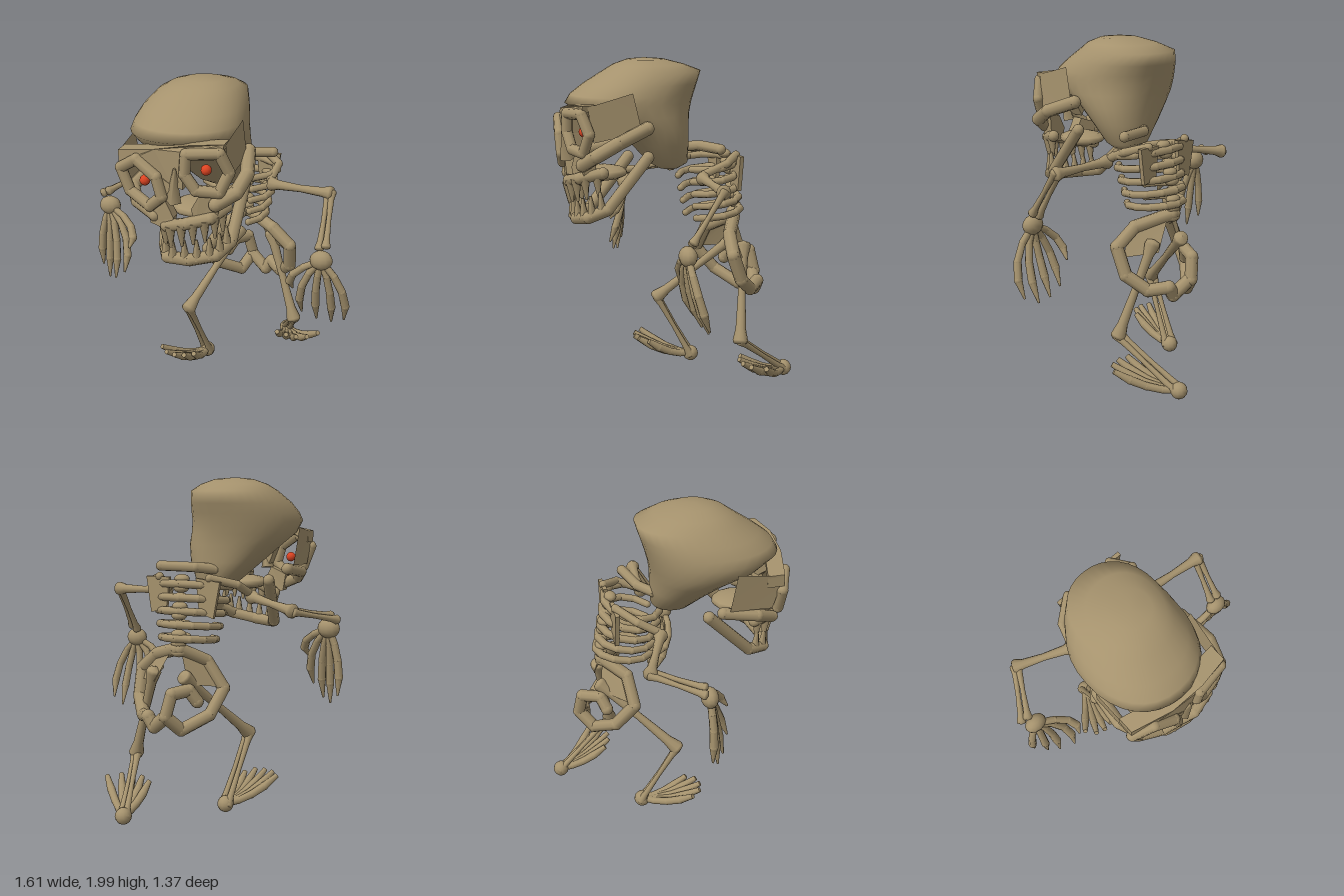
import * as THREE from 'three';

const bone = new THREE.MeshStandardMaterial({ color: 0xa5926d });
bone.name = 'bone';
bone.side = THREE.DoubleSide;
const ember = new THREE.MeshStandardMaterial({ color: 0xdd4422 });
ember.name = 'ember red';

const V = (p) => new THREE.Vector3(...p);
const UP = new THREE.Vector3(0, 1, 0);

function add(parent, name, geometry, material = bone) {
  const mesh = new THREE.Mesh(geometry, material);
  mesh.name = name;
  parent.add(mesh);
  return mesh;
}

function group(parent, name) {
  const g = new THREE.Group();
  g.name = name;
  parent.add(g);
  return g;
}

// place a y-axis geometry so that it runs from a to b
function span(mesh, a, b) {
  const p = V(a), q = V(b);
  mesh.position.copy(p).lerp(q, 0.5);
  mesh.quaternion.setFromUnitVectors(UP, q.sub(p).normalize());
  return mesh;
}

function rod(parent, name, a, b, r0, r1 = r0, sides = 8) {
  return span(add(parent, name, new THREE.CylinderGeometry(r1, r0, V(a).distanceTo(V(b)), sides)), a, b);
}

function ball(parent, name, p, r, scale = [1, 1, 1], material = bone) {
  const m = add(parent, name, new THREE.SphereGeometry(r, 12, 8), material);
  m.position.set(...p);
  m.scale.set(...scale);
  return m;
}

// jointed run of rods whose thickness goes from r0 to r1
function chain(parent, name, pts, r0, r1 = r0) {
  const g = group(parent, name), n = pts.length - 1;
  const r = (i) => r0 + (r1 - r0) * i / n;
  for (let i = 0; i < n; i++) rod(g, name + 'Segment', pts[i], pts[i + 1], r(i), r(i + 1));
  pts.forEach((p, i) => ball(g, name + 'Joint', p, r(i)));
}

// limb bone with a slim shaft and knobbed ends
function longBone(parent, name, a, b, r) {
  const L = V(a).distanceTo(V(b)), h = L / 2;
  const profile = [[0, -h - r], [r * 1.3, -h - r * 0.6], [r * 1.5, -h], [r, -h * 0.75], [r * 0.75, 0],
    [r, h * 0.75], [r * 1.5, h], [r * 1.3, h + r * 0.6], [0, h + r]];
  span(add(parent, name, new THREE.LatheGeometry(profile.map((p) => new THREE.Vector2(...p)), 10)), a, b);
}

// bent digit from root to a tapered tip
function digit(parent, name, root, bend, tip, r, tipRadius) {
  const c = new THREE.QuadraticBezierCurve3(V(root), V(bend), V(tip));
  const p = c.getPoints(4).map((v) => v.toArray());
  chain(parent, name, p.slice(0, 4), r * 0.8, r);
  rod(parent, name + 'Tip', p[3], p[4], r, tipRadius);
}

// plate outlined in x and y, optionally wrapped back around the face
function plate(parent, name, pts, z, depth, wrap = 0) {
  const s = new THREE.Shape(pts.map((p) => new THREE.Vector2(...p)));
  const geo = new THREE.ExtrudeGeometry(s, { depth, bevelEnabled: false });
  const pos = geo.attributes.position;
  for (let i = 0; i < pos.count; i++) pos.setZ(i, pos.getZ(i) + z - wrap * (pos.getX(i) + 0.06) ** 2);
  geo.computeVertexNormals();
  add(parent, name, geo);
}

// thin four-cornered panel
function panel(parent, name, corners) {
  const geo = new THREE.BufferGeometry();
  geo.setAttribute('position', new THREE.Float32BufferAttribute(corners.flat(), 3));
  geo.setIndex([0, 1, 2, 0, 2, 3]);
  geo.computeVertexNormals();
  add(parent, name, geo);
}

// cranium lofted from full, level ovals: y, x range, z range
function craniumGeometry() {
  const rings = [
    [1.35, -0.06, 0.08, -0.04, 0.08], [1.38, -0.14, 0.12, -0.10, 0.13], [1.5, -0.27, 0.175, -0.11, 0.23],
    [1.6, -0.37, 0.2, -0.12, 0.35], [1.67, -0.43, 0.205, -0.135, 0.5], [1.74, -0.445, 0.205, -0.155, 0.6],
    [1.79, -0.43, 0.2, -0.17, 0.57], [1.85, -0.4, 0.185, -0.19, 0.49], [1.92, -0.34, 0.16, -0.21, 0.38],
    [1.96, -0.27, 0.12, -0.1, 0.32], [1.99, -0.18, 0.05, 0.02, 0.24]];
  const N = 32, pos = [], idx = [];
  const full = (v) => Math.sign(v) * Math.abs(v) ** 0.92;
  for (const [y, x0, x1, z0, z1] of rings) {
    for (let i = 0; i < N; i++) {
      const t = i / N * Math.PI * 2;
      pos.push((x0 + x1) / 2 + (x1 - x0) / 2 * full(Math.sin(t)), y, (z0 + z1) / 2 + (z1 - z0) / 2 * full(Math.cos(t)));
    }
  }
  const last = (rings.length - 1) * N, base = rings.length * N;
  pos.push(0.01, 1.34, 0.03, -0.07, 2.0, 0.14);
  for (let i = 0; i < N; i++) {
    const j = (i + 1) % N;
    for (let k = 0; k < last; k += N) idx.push(k + i, k + j, k + N + j, k + i, k + N + j, k + N + i);
    idx.push(base, j, i, base + 1, last + i, last + j);
  }
  const geo = new THREE.BufferGeometry();
  geo.setAttribute('position', new THREE.Float32BufferAttribute(pos, 3));
  geo.setIndex(idx);
  geo.computeVertexNormals();
  return geo;
}

function buildSkull(parent) {
  const g = group(parent, 'skull');
  add(g, 'cranium', craniumGeometry());
  // brow, nose and cheek plates
  plate(g, 'brow', [[-0.43, 1.67], [-0.43, 1.6], [-0.31, 1.65], [-0.19, 1.57], [-0.14, 1.45], [-0.1, 1.52],
    [-0.04, 1.5], [-0.04, 1.58], [-0.03, 1.71], [0.17, 1.72], [0.18, 1.76], [0, 1.75], [-0.2, 1.71]], 0.53, 0.1, 0.55);
  plate(g, 'rightUpperJaw', [[-0.26, 1.39], [-0.15, 1.43], [-0.1, 1.33], [-0.12, 1.25], [-0.24, 1.28]], 0.55, 0.07, 0.8);
  plate(g, 'leftUpperJaw', [[0.0, 1.39], [0.05, 1.48], [0.15, 1.49], [0.14, 1.33], [0.02, 1.31]], 0.55, 0.07, 0.8);
  rod(g, 'nose', [-0.1, 1.42, 0.61], [-0.08, 1.62, 0.64], 0.045, 0.008, 4);
  // eye sockets and eyes
  const left = [[-0.02, 1.7, 0.63], [0.155, 1.71, 0.6], [0.2, 1.6, 0.57], [0.15, 1.49, 0.59], [0.03, 1.5, 0.62], [-0.03, 1.59, 0.63]];
  const right = [[-0.42, 1.57, 0.55], [-0.31, 1.64, 0.6], [-0.19, 1.56, 0.63], [-0.16, 1.45, 0.63], [-0.24, 1.38, 0.6], [-0.37, 1.44, 0.55]];
  chain(g, 'leftSocket', [...left, left[0]], 0.033);
  chain(g, 'rightSocket', [...right, right[0]], 0.033);
  ball(g, 'leftEye', [0.07, 1.6, 0.56], 0.03, [1, 1, 1], ember);
  ball(g, 'rightEye', [-0.29, 1.5, 0.53], 0.03, [1, 1, 1], ember);
  // temples and cheek arches
  panel(g, 'leftTemple', [[0.18, 1.75, 0.57], [0.19, 1.55, 0.54], [0.215, 1.6, 0.26], [0.205, 1.82, 0.31]]);
  panel(g, 'rightTemple', [[-0.43, 1.66, 0.55], [-0.41, 1.46, 0.5], [-0.41, 1.47, 0.25], [-0.435, 1.7, 0.28]]);
  chain(g, 'leftCheek', [[0.22, 1.62, 0.23], [0.26, 1.55, 0.42], [0.23, 1.48, 0.54], [0.13, 1.42, 0.59]], 0.04);
  chain(g, 'rightCheek', [[-0.38, 1.45, 0.22], [-0.4, 1.42, 0.42], [-0.34, 1.37, 0.53], [-0.22, 1.32, 0.58]], 0.035);
  // jaws with teeth
  ball(g, 'palate', [-0.03, 1.34, 0.42], 0.15, [0.9, 0.3, 1]);
  const upper = [[-0.2, 1.27, 0.48], [-0.15, 1.27, 0.59], [-0.02, 1.31, 0.63], [0.1, 1.34, 0.6], [0.16, 1.37, 0.48]];
  const lower = [[-0.21, 1.09, 0.45], [-0.16, 1.07, 0.56], [-0.02, 1.08, 0.59], [0.12, 1.11, 0.56], [0.18, 1.16, 0.46]];
  chain(g, 'upperJaw', upper, 0.035);
  chain(g, 'lowerJaw', [[-0.28, 1.38, 0.17], ...lower, [0.2, 1.45, 0.22]], 0.036);
  const up = new THREE.CatmullRomCurve3(upper.map(V)), low = new THREE.CatmullRomCurve3(lower.map(V));
  for (let i = 0; i < 8; i++) {
    const a = up.getPoint((i + 0.5) / 8).toArray(), b = low.getPoint((i + 0.8) / 8.4).toArray();
    rod(g, 'upperTooth', a, [a[0], a[1] - 0.13, a[2] - 0.01], 0.032, 0.008, 6);
    rod(g, 'lowerTooth', b, [b[0], b[1] + 0.12, b[2] + 0.01], 0.03, 0.008, 6);
  }
}

function buildTorso(parent) {
  const g = group(parent, 'torso');
  // spine beads
  const spine = new THREE.CatmullRomCurve3([[0.05, 1.0, -0.4], [0.05, 1.2, -0.39], [0.06, 1.42, -0.33]].map(V));
  for (let i = 0; i <= 8; i++) ball(g, 'vertebra', spine.getPointAt(i / 8).toArray(), 0.037, [1.3, 0.75, 1]);
  // ribs, open at the breast
  for (let i = 0; i < 5; i++) {
    const y = 1.065 + i * 0.077, rx = 0.16 + i * 0.02, zb = -0.43 + i * 0.016, zf = -0.09 + i * 0.012;
    for (const s of [-1, 1]) {
      const pts = [];
      for (let k = 0; k <= 5; k++) {
        const t = k / 5 * 2.6;
        pts.push([0.05 + s * rx * Math.sin(t), y + 0.02 * Math.cos(t), (zb + zf) / 2 - (zf - zb) / 2 * Math.cos(t)]);
      }
      chain(g, 'rib', pts, 0.024, 0.021);
    }
  }
  // shoulder blades and collar bones
  plate(g, 'leftShoulderBlade', [[0.13, 1.43], [0.28, 1.43], [0.25, 1.22], [0.15, 1.24]], -0.355, 0.025);
  plate(g, 'rightShoulderBlade', [[-0.04, 1.43], [-0.19, 1.41], [-0.15, 1.2], [-0.06, 1.23]], -0.355, 0.025);
  chain(g, 'leftCollar', [[0.27, 1.34, -0.1], [0.29, 1.4, -0.24], [0.2, 1.43, -0.34]], 0.025);
  chain(g, 'rightCollar', [[-0.28, 1.33, -0.13], [-0.25, 1.39, -0.24], [-0.12, 1.43, -0.34]], 0.025);
  chain(g, 'neckBar', [[-0.04, 1.46, -0.09], [0.05, 1.475, -0.17], [0.26, 1.48, -0.21]], 0.031);
}

function buildPelvis(parent) {
  const g = group(parent, 'pelvis');
  chain(g, 'leftHipLoop', [[0.06, 1.02, -0.4], [0.25, 0.96, -0.28], [0.37, 0.86, -0.25], [0.36, 0.7, -0.31],
    [0.28, 0.61, -0.41], [0.2, 0.63, -0.5], [0.16, 0.57, -0.5], [0.06, 0.65, -0.54]], 0.04);
  chain(g, 'rightHipLoop', [[0.04, 1.02, -0.4], [-0.07, 0.94, -0.27], [-0.17, 0.78, -0.25], [-0.13, 0.64, -0.36],
    [0.0, 0.56, -0.47], [0.06, 0.65, -0.55], [0.03, 0.78, -0.53], [-0.03, 0.79, -0.43], [-0.07, 0.72, -0.4]], 0.038);
  panel(g, 'leftHipBlade', [[0.1, 1.0, -0.4], [0.27, 0.95, -0.28], [0.36, 0.8, -0.28], [0.2, 0.82, -0.42]]);
  panel(g, 'rightHipBlade', [[0.03, 1.0, -0.4], [-0.07, 0.93, -0.28], [-0.15, 0.79, -0.27], [-0.02, 0.82, -0.42]]);
}

// two slim bones side by side with knobbed ends
function pairedBones(g, name, a, b, off) {
  for (const s of [-1, 1]) {
    const shift = (p, k) => p.map((v, i) => v + s * k * off[i]);
    longBone(g, name, shift(a, 0.6), shift(b, 1), 0.019);
  }
}

function buildArm(parent, name, shoulder, elbow, wrist, palm, tips, bulge) {
  const g = group(parent, name);
  longBone(g, 'upperArm', shoulder, elbow, 0.029);
  pairedBones(g, 'forearm', elbow, wrist, [0.02, 0.01, 0.005]);
  ball(g, 'palm', palm, 0.062, [1.1, 0.95, 0.8]);
  for (const t of tips) {
    const bend = [t[0] + (t[0] - palm[0]) * 0.35, palm[1] * 0.55 + t[1] * 0.45, (palm[2] + t[2]) / 2 + bulge];
    digit(g, 'finger', palm, bend, t, 0.025, 0.006);
  }
}

function buildLeg(parent, name, hip, knee, heel, tips) {
  const g = group(parent, name);
  longBone(g, 'thigh', hip, knee, 0.031);
  pairedBones(g, 'shin', knee, heel, [0.022, 0, 0.012]);
  ball(g, 'heel', heel, 0.05);
  for (const t of tips) {
    const bend = [(heel[0] + t[0]) / 2, 0.06, (heel[2] + t[2]) / 2];
    digit(g, 'toe', heel, bend, t, 0.026, 0.016);
  }
}

export function createModel() {
  const model = new THREE.Group();
  model.name = 'skeleton';
  buildSkull(model);
  buildTorso(model);
  buildPelvis(model);
  buildArm(model, 'leftArm', [0.28, 1.32, -0.09], [0.64, 1.31, -0.05], [0.64, 1.04, 0.13], [0.64, 0.97, 0.16],
    [[0.46, 0.73, 0.07], [0.52, 0.58, 0.07], [0.61, 0.54, 0.06], [0.7, 0.53, 0.06], [0.78, 0.57, 0.09]], 0.06);
  buildArm(model, 'rightArm', [-0.29, 1.31, -0.12], [-0.59, 1.26, -0.26], [-0.75, 1.2, 0.0], [-0.71, 1.13, 0.04],
    [[-0.77, 0.73, 0.05], [-0.71, 0.67, 0.1], [-0.65, 0.69, 0.15], [-0.57, 0.76, 0.2], [-0.53, 0.93, 0.21]], 0.01);
  buildLeg(model, 'leftLeg', [0.22, 0.87, -0.39], [0.4, 0.335, -0.29], [0.285, 0.06, -0.655],
    [[0.55, 0.19, -0.39], [0.49, 0.19, -0.32], [0.42, 0.19, -0.3], [0.35, 0.19, -0.31], [0.28, 0.18, -0.35]]);
  buildLeg(model, 'rightLeg', [0.0, 0.86, -0.42], [-0.225, 0.46, 0.0], [-0.165, 0.06, -0.21],
    [[-0.39, 0.19, 0.06], [-0.34, 0.19, 0.12], [-0.28, 0.19, 0.14], [-0.22, 0.19, 0.13], [-0.17, 0.18, 0.08]]);
  return model;
}
